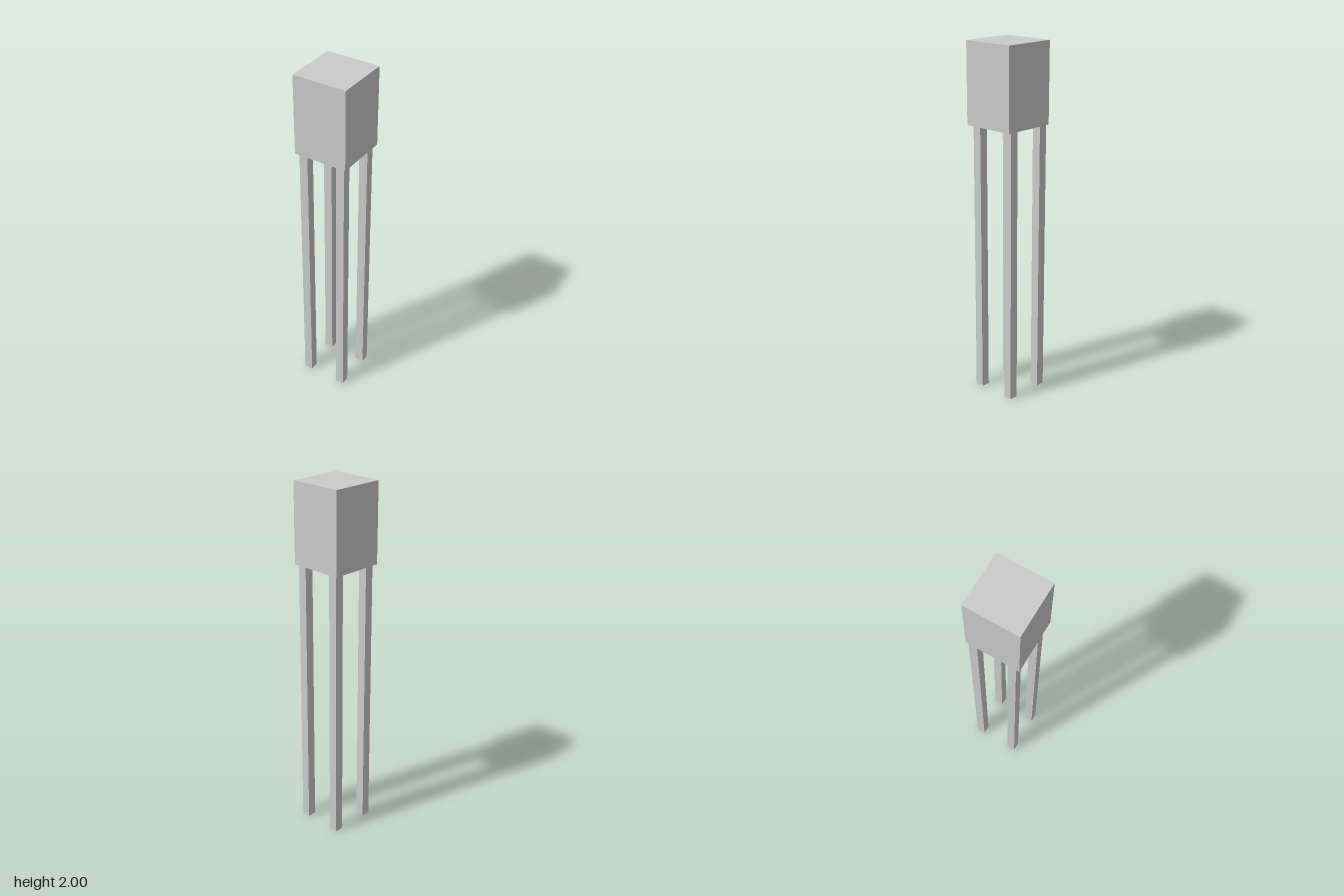
import * as THREE from 'three';

export function createModel() {
  const group = new THREE.Group();
  const material = new THREE.MeshStandardMaterial({ color: 0xcccccc, flatShading: true });

  const addBox = (name, [w, h, d], [x, y, z]) => {
    const mesh = new THREE.Mesh(new THREE.BoxGeometry(w, h, d), material);
    mesh.name = name;
    mesh.position.set(x, y, z);
    group.add(mesh);
  };

  const top = 2, legHeight = 1.55, width = 0.308, legWidth = 0.05;

  // Block on top
  addBox('block', [width, top - legHeight, width], [0, (top + legHeight) / 2, 0]);

  // Four legs, set slightly off centre towards the right and back
  const spread = 0.1125, offset = -0.006;
  for (const [zName, sz] of [['front', 1], ['back', -1]]) {
    for (const [xName, sx] of [['Left', 1], ['Right', -1]]) {
      addBox(`${zName}${xName}Leg`, [legWidth, legHeight, legWidth],
        [sx * spread + offset, legHeight / 2, sz * spread + offset - 0.002]);
    }
  }
  return group;
}
